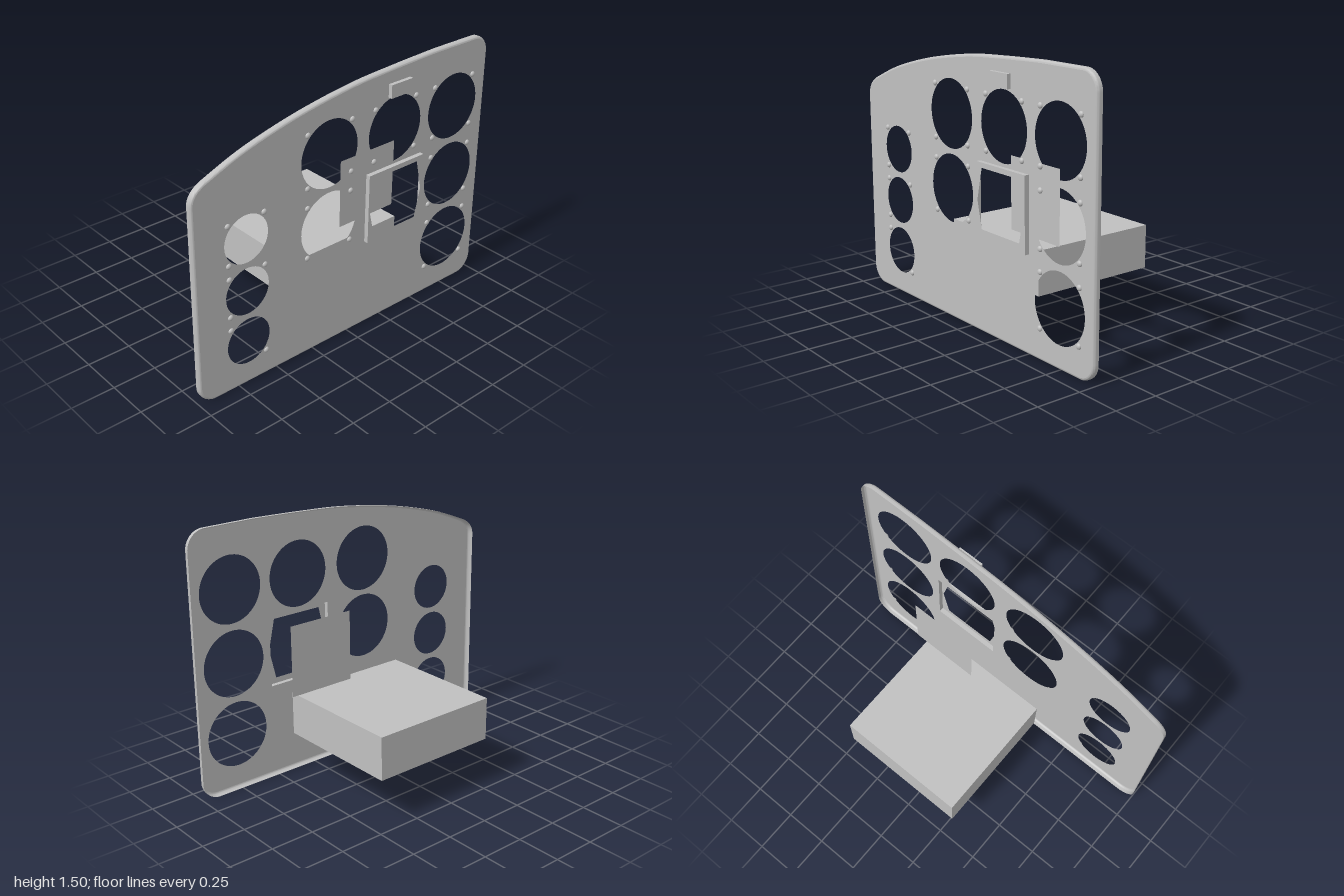
import * as THREE from 'three';
import { toCreasedNormals } from 'three/addons/utils/BufferGeometryUtils.js';

const grey = new THREE.MeshStandardMaterial({ color: 0xc0c0c0, side: THREE.DoubleSide });
grey.name = 'panel grey';

const BACK = 0.382, FACE = 0.413, EDGE = 0.014;

// Instrument cutouts: z, y, radius and screw corners as [zSign, ySign]
const ALL = [[1, 1], [-1, 1], [1, -1], [-1, -1]];
const THREE_CORNERS = ALL.slice(0, 3);
const DIALS = [
  ...[[-0.745, 1.144], [-0.745, 0.73], [-0.745, 0.318], [-0.308, 1.144], [0.148, 1.144], [0.148, 0.738]]
    .map(([z, y]) => ({ z, y, r: 0.188, offset: 0.147, corners: ALL })),
  { z: 0.684, y: 0.861, r: 0.134, offset: 0.111, corners: THREE_CORNERS },
  { z: 0.684, y: 0.561, r: 0.134, offset: 0.111, corners: THREE_CORNERS },
  { z: 0.684, y: 0.26, r: 0.134, offset: 0.111, corners: [[1, 1], [-1, -1]] },
];

// Square display opening and its hexagonal window, as [z, y]
const SQUARE = [[-0.11, 0.533], [-0.51, 0.533], [-0.51, 0.938], [-0.11, 0.938]];
const HEXAGON = [[-0.155, 0.565], [-0.46, 0.565], [-0.5, 0.735], [-0.46, 0.91], [-0.155, 0.91], [-0.115, 0.735]];

// Profiles are drawn in (-z, y)
const points = (list) => list.map(([z, y]) => new THREE.Vector2(-z, y));

function addMesh(group, name, geometry, x = 0, y = 0, z = 0) {
  const mesh = new THREE.Mesh(geometry, grey);
  mesh.name = name;
  mesh.position.set(x, y, z);
  group.add(mesh);
}

// Flat sheet facing +x
const sheet = (shape) => new THREE.ShapeGeometry(shape, 32).rotateY(Math.PI / 2);

// Moves a counter-clockwise outline inwards
function inset(outline, amount) {
  const n = outline.length;
  return outline.map((p, i) => {
    const before = p.clone().sub(outline[(i + n - 1) % n]).normalize();
    const after = outline[(i + 1) % n].clone().sub(p).normalize();
    const t = before.add(after).normalize();
    return new THREE.Vector2(p.x - t.y * amount, p.y + t.x * amount);
  });
}

// Open wall around an outline; each row is [x, inset]
function wall(outline, rows) {
  const n = outline.length, positions = [], index = [];
  rows.forEach(([x, amount], row) => {
    inset(outline, amount).forEach((p, i) => {
      positions.push(x, p.y, -p.x);
      if (row === 0) return;
      const next = (i + 1) % n, a = (row - 1) * n, b = row * n;
      index.push(a + i, a + next, b + next, a + i, b + next, b + i);
    });
  });
  const geometry = new THREE.BufferGeometry();
  geometry.setAttribute('position', new THREE.Float32BufferAttribute(positions, 3));
  geometry.setIndex(index);
  return toCreasedNormals(geometry, 0.8);
}

function panelOutline() {
  const r = 0.105, top = 1.505;
  const s = new THREE.Shape();
  s.moveTo(-1 + r, 0);
  s.lineTo(1 - r, 0);
  s.absarc(1 - r, r, r, -Math.PI / 2, 0, false);
  s.lineTo(1, top - r);
  s.absarc(1 - r, top - r, r, 0, Math.PI / 2, false);
  s.lineTo(0.6, top);
  // sloping top edge
  s.splineThru(points([[-0.3, 1.493], [0, 1.473], [0.35, 1.42], [0.675, 1.34], [0.92, 1.247]]));
  s.bezierCurveTo(-0.97, 1.222, -1, 1.19, -1, 1.14);
  s.lineTo(-1, r);
  s.absarc(-1 + r, r, r, Math.PI, Math.PI * 1.5, false);
  const list = s.getPoints(12);
  return list.filter((p, i) => p.distanceTo(list[(i + 1) % list.length]) > 1e-4);
}

export function createModel() {
  const model = new THREE.Group();
  model.name = 'instrumentPanel';

  // Panel: thin face with cutouts and a rounded rim, open at the back
  const outline = panelOutline();
  const face = new THREE.Shape(inset(outline, EDGE));
  for (const d of DIALS) {
    face.holes.push(new THREE.Path().absarc(-d.z, d.y, d.r, 0, Math.PI * 2, true));
  }
  face.holes.push(new THREE.Path(points(SQUARE)));
  addMesh(model, 'panelFace', sheet(face));

  const rimRows = [[BACK, 0]];
  for (let i = 0; i <= 4; i++) {
    const a = (i / 4) * Math.PI / 2;
    rimRows.push([FACE - EDGE + EDGE * Math.sin(a), EDGE * (1 - Math.cos(a))]);
  }
  addMesh(model, 'panelRim', wall(outline, rimRows));
  model.children[0].position.x = FACE;

  // Domed screws around each dial cutout
  const screws = new THREE.Group();
  screws.name = 'screws';
  model.add(screws);
  const screwGeometry = new THREE.SphereGeometry(0.016, 16, 6, 0, Math.PI * 2, 0, Math.PI / 2)
    .scale(1, 0.75, 1).rotateZ(-Math.PI / 2);
  for (const d of DIALS) {
    for (const [sz, sy] of d.corners) {
      addMesh(screws, 'screw', screwGeometry, FACE, d.y + sy * d.offset, d.z + sz * d.offset);
    }
  }

  // Display bezel: side walls and a thin front with a hexagonal window
  const bezel = new THREE.Shape(points(SQUARE));
  bezel.holes.push(new THREE.Path(points(HEXAGON)));
  const bezelDepth = 0.026;
  addMesh(model, 'bezelFront', sheet(bezel), FACE + bezelDepth);
  addMesh(model, 'bezelSides', wall(points(SQUARE), [[FACE, 0], [FACE + bezelDepth, 0]]));

  // Screen set behind the window
  addMesh(model, 'displayScreen', new THREE.PlaneGeometry(0.4, 0.405).rotateY(Math.PI / 2), 0.216, 0.735, -0.31);

  // Raised switch block and flat label plate
  addMesh(model, 'switchBlock', new THREE.BoxGeometry(0.022, 0.075, 0.15), 0.438, 1.381, -0.311);
  addMesh(model, 'labelPlate', new THREE.PlaneGeometry(0.19, 0.075).rotateY(Math.PI / 2), FACE + 0.002, 1.273, 0.585);

  // Equipment box behind the panel
  addMesh(model, 'equipmentBox', new THREE.BoxGeometry(0.753, 0.244, 0.753), -0.0735, 0.392, -0.0735);

  return model;
}
